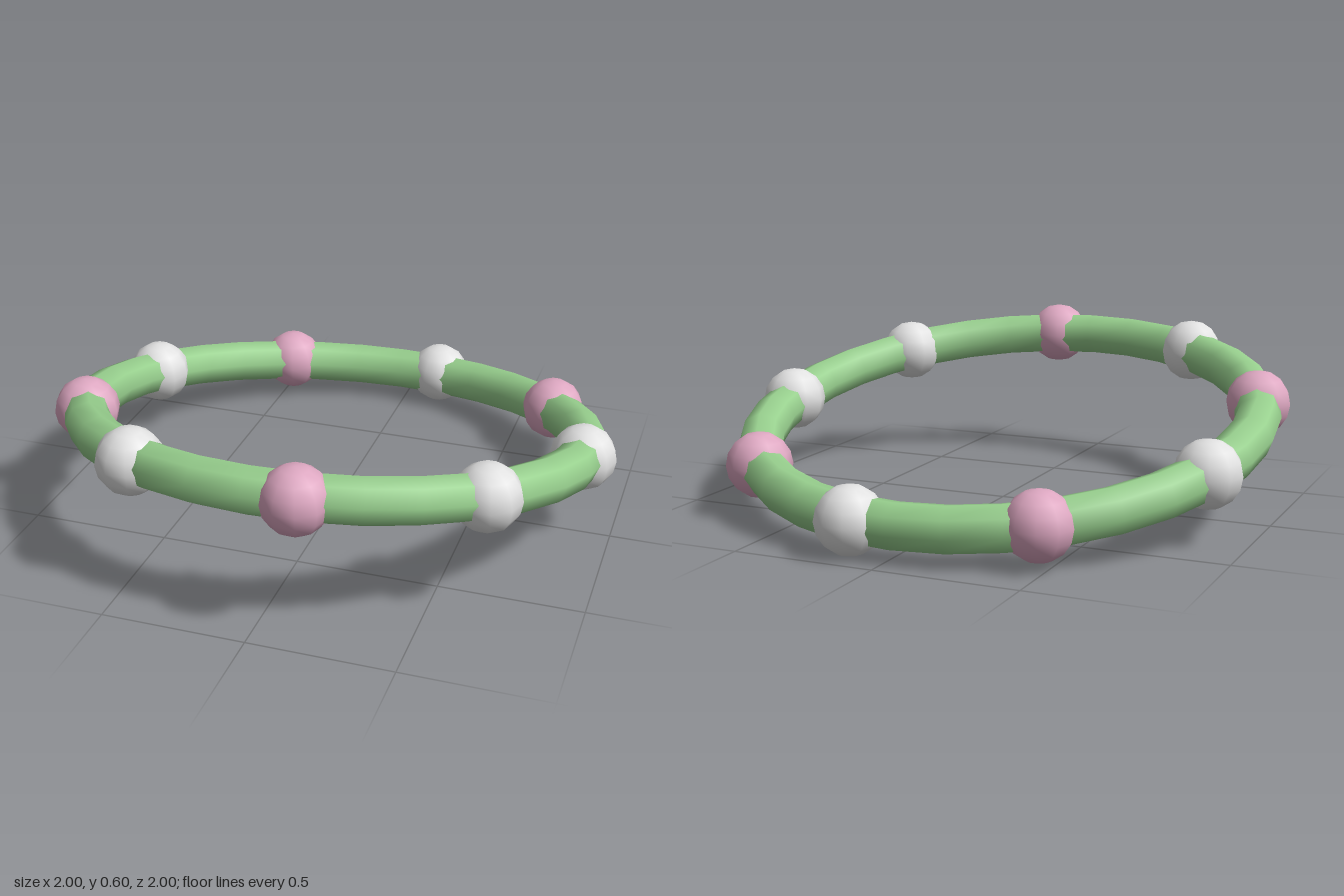
import * as THREE from 'three';

export function createModel() {
  const model = new THREE.Group();
  model.name = 'beadedRing';

  const mat = (name, color) => {
    const m = new THREE.MeshStandardMaterial({ color });
    m.name = name;
    return m;
  };
  const green = mat('stem green', 0x98d08e);
  const pink = mat('blossom pink', 0xdea8c2);
  const white = mat('blossom white', 0xe2e2e2);

  const R = 0.901, tilt = 0.21, cx = -0.018, cy = 0.302;

  // Tilted hoop, higher at the front
  const hoop = new THREE.Mesh(new THREE.TorusGeometry(R, 0.081, 8, 32), green);
  hoop.name = 'hoop';
  hoop.rotation.x = Math.PI / 2 - tilt;
  hoop.position.set(cx, cy, 0);
  model.add(hoop);

  // Nine beads evenly spaced around the hoop
  const beadGeometry = new THREE.SphereGeometry(0.117, 10, 8);
  for (let i = 0; i < 9; i++) {
    const a = (i / 9) * Math.PI * 2;
    const isPink = i > 0 && i % 2 === 0;
    const bead = new THREE.Mesh(beadGeometry, isPink ? pink : white);
    bead.name = isPink ? 'pinkBead' : 'whiteBead';
    bead.position.set(cx + R * Math.cos(a), cy + R * Math.sin(tilt) * Math.sin(a), R * Math.sin(a));
    model.add(bead);
  }
  return model;
}
